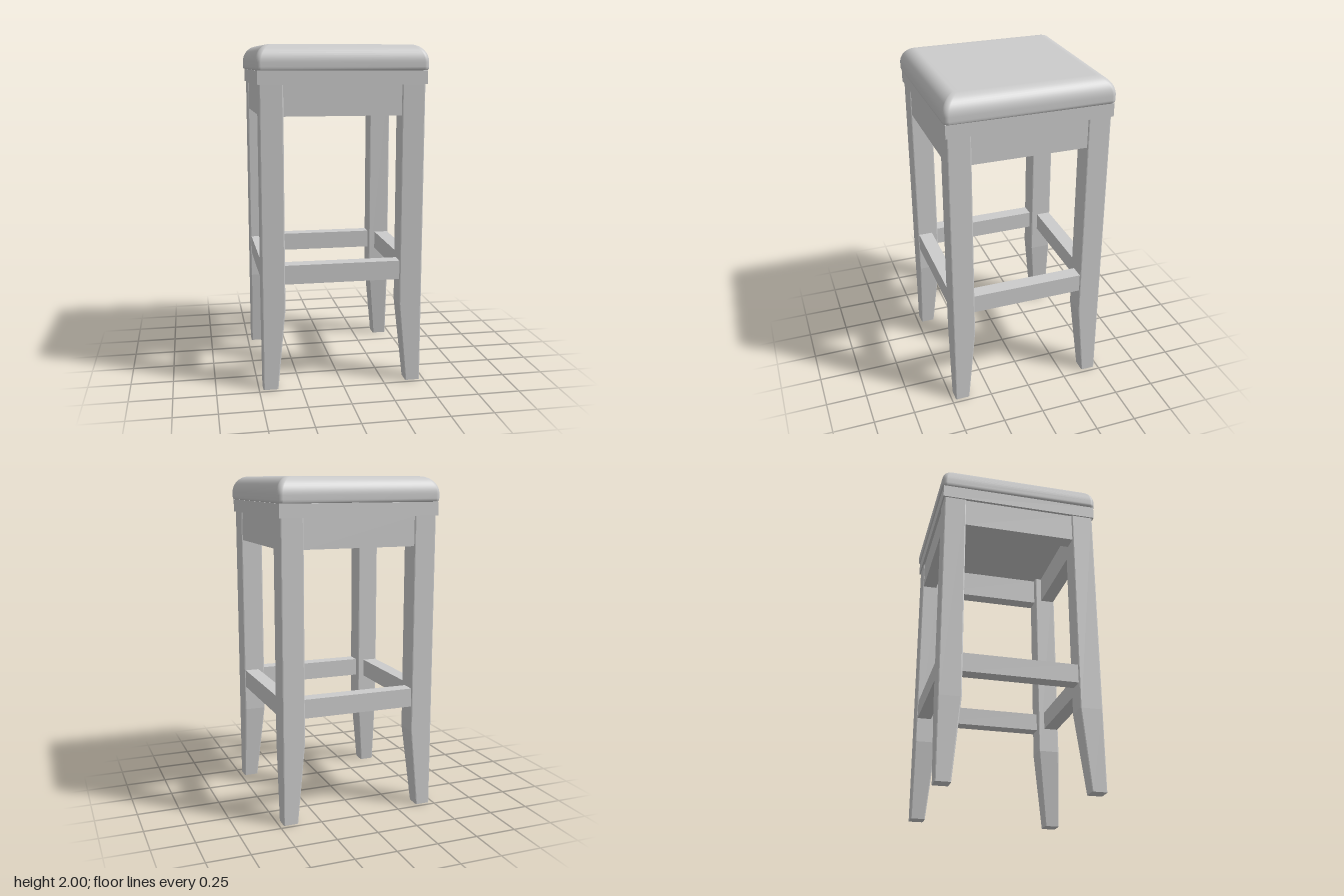
import * as THREE from 'three';

const material = new THREE.MeshStandardMaterial({ color: 0xcccccc });
const flat = new THREE.MeshStandardMaterial({ color: 0xcccccc, flatShading: true });

const LEG_OUT = 0.475, LEG_IN = 0.34, FOOT_IN = 0.386;
const BOARD_Y = 1.777, TAPER_Y = 0.48;

function addMesh(group, name, geometry, mat = material) {
  const mesh = new THREE.Mesh(geometry, mat);
  mesh.name = name;
  group.add(mesh);
  return mesh;
}

// One ring of a rounded square centred on (x, z), listed from +x towards +z
function roundedSquare(half, radius, y, steps, x = 0, z = 0) {
  const ring = [];
  for (let q = 0; q < 4; q++) {
    const mid = (q + 0.5) * Math.PI / 2;
    const cx = x + Math.sign(Math.cos(mid)) * (half - radius);
    const cz = z + Math.sign(Math.sin(mid)) * (half - radius);
    for (let i = 0; i <= steps; i++) {
      const a = (q + i / steps) * Math.PI / 2;
      ring.push([cx + radius * Math.cos(a), y, cz + radius * Math.sin(a)]);
    }
  }
  return ring;
}

// Solid lofted upwards through rings, closed at both ends
function loft(rings) {
  const n = rings[0].length;
  const positions = rings.flat(2);
  const bottom = rings.length * n, top = bottom + 1, last = (rings.length - 1) * n;
  for (const ring of [rings[0], rings[rings.length - 1]]) {
    for (let c = 0; c < 3; c++) positions.push(ring.reduce((sum, p) => sum + p[c], 0) / n);
  }
  const index = [];
  for (let j = 0; j < n; j++) {
    const k = (j + 1) % n;
    for (let r = 0; r < rings.length - 1; r++) {
      const a = r * n + j, b = r * n + k;
      index.push(a, a + n, b, b, a + n, b + n);
    }
    index.push(bottom, j, k, top, last + k, last + j);
  }
  const g = new THREE.BufferGeometry();
  g.setAttribute('position', new THREE.Float32BufferAttribute(positions, 3));
  g.setIndex(index);
  g.computeVertexNormals();
  return g;
}

// Square leg with eased edges; only the inner faces taper towards the foot
function legGeometry(sx, sz) {
  return loft([[FOOT_IN, 0], [LEG_IN, TAPER_Y], [LEG_IN, BOARD_Y]].map(([inner, y]) => {
    const centre = (LEG_OUT + inner) / 2;
    return roundedSquare((LEG_OUT - inner) / 2, 0.007, y, 2, sx * centre, sz * centre);
  }));
}

// Padded cushion with a tucked lower edge and a rounded upper edge
function cushionGeometry() {
  const rings = [[0.47, 0.02, 1.855], [0.487, 0.026, 1.856], [0.493, 0.03, 1.862], [0.494, 0.03, 1.875]]
    .map(([half, radius, y]) => roundedSquare(half, radius, y, 6));
  const steps = 12;
  for (let i = 0; i <= steps; i++) {
    const a = (i / steps) * Math.PI / 2;
    const c = Math.cos(a);
    rings.push(roundedSquare(0.404 + 0.09 * c, 0.02 + 0.01 * c, 1.9 + 0.1 * Math.sin(a), 6));
  }
  rings.push(roundedSquare(0.37, 0.015, 2, 6));
  return loft(rings);
}

export function createModel() {
  const stool = new THREE.Group();
  stool.name = 'stool';

  // Seat
  addMesh(stool, 'seatCushion', cushionGeometry());
  const boardHeight = 1.855 - BOARD_Y;
  addMesh(stool, 'seatBoard', new THREE.BoxGeometry(0.968, boardHeight, 0.968))
    .position.y = BOARD_Y + boardHeight / 2;

  // Legs
  for (const [sx, side] of [[1, 'Left'], [-1, 'Right']]) {
    for (const [sz, end] of [[1, 'front'], [-1, 'back']]) {
      addMesh(stool, `${end}${side}Leg`, legGeometry(sx, sz), flat);
    }
  }

  // Aprons under the seat and foot rails, the same on all four sides
  const outer = 0.467, thickness = 0.087;
  ['front', 'left', 'back', 'right'].forEach((side, i) => {
    const frame = new THREE.Group();
    frame.name = `${side}Frame`;
    frame.rotation.y = i * Math.PI / 2;
    for (const [name, low, high] of [['Apron', 1.602, BOARD_Y], ['FootRail', 0.635, 0.747]]) {
      const bar = addMesh(frame, side + name, new THREE.BoxGeometry(2 * LEG_IN, high - low, thickness));
      bar.position.set(0, (low + high) / 2, outer - thickness / 2);
    }
    stool.add(frame);
  });

  return stool;
}
